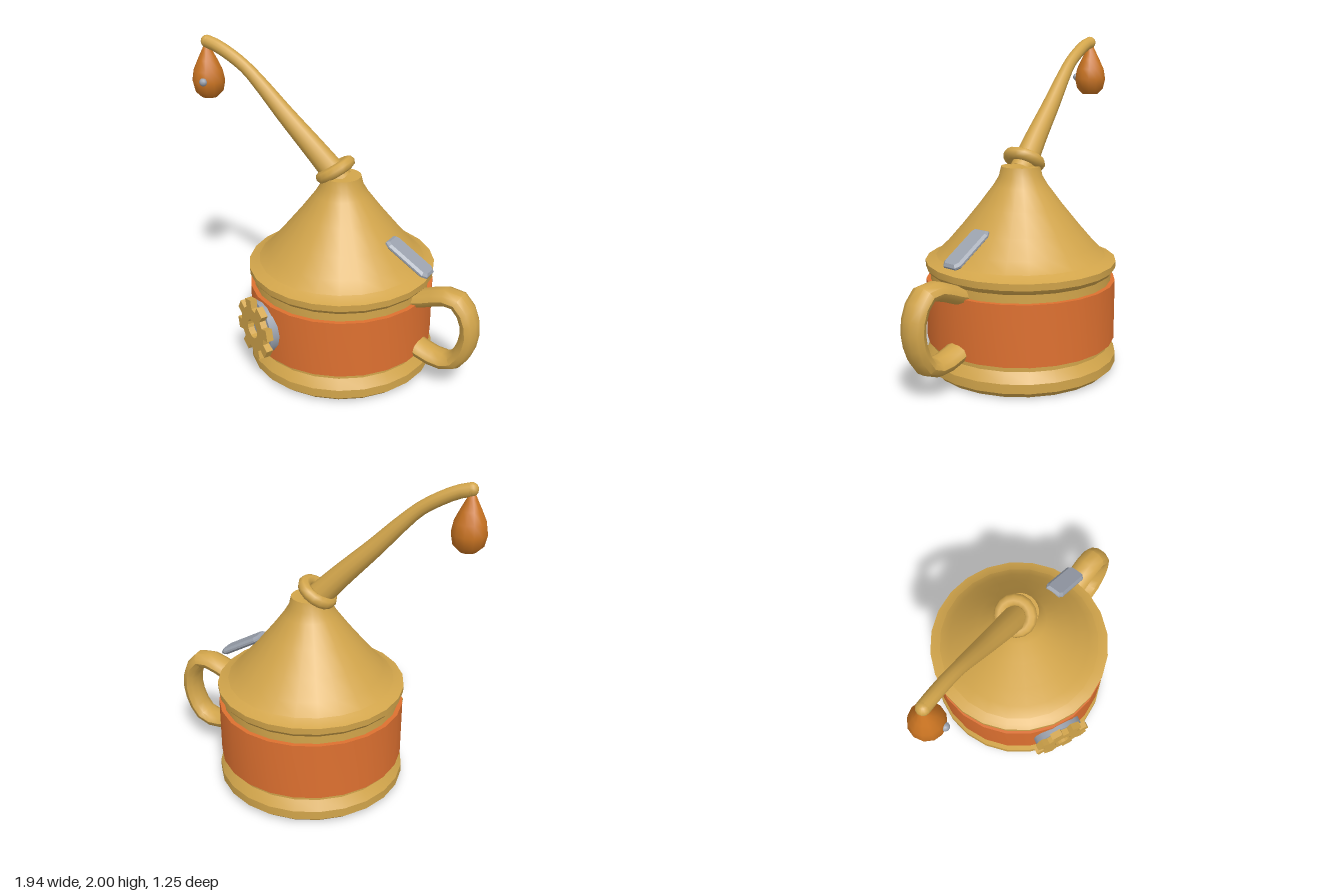
import * as THREE from 'three';
import { toCreasedNormals } from 'three/addons/utils/BufferGeometryUtils.js';

const mat = (name, color) => {
  const m = new THREE.MeshStandardMaterial({ color });
  m.name = name;
  return m;
};
const V = (x, y, z) => new THREE.Vector3(x, y, z);

export function createModel() {
  const brass = mat('brass', 0xd2a54b);
  const orange = mat('orange enamel', 0xdd7030);
  const amber = mat('amber', 0xca7422);
  const steel = mat('steel', 0x9ba2ae);

  const model = new THREE.Group();
  const add = (parent, name, geometry, material, x = 0, y = 0, z = 0) => {
    const mesh = new THREE.Mesh(geometry, material);
    mesh.name = name;
    mesh.position.set(x, y, z);
    parent.add(mesh);
    return mesh;
  };
  const lathe = (profile, segments, crease = 0.5) => toCreasedNormals(
    new THREE.LatheGeometry(profile.map(([r, y]) => new THREE.Vector2(r, y)), segments), crease);

  // Can: every round body part shares one axis
  const can = new THREE.Group();
  can.name = 'can';
  can.position.set(0.02, 0, -0.038);
  model.add(can);
  add(can, 'base', lathe([[0, 0], [0.55, 0], [0.575, 0.03], [0.588, 0.035], [0.588, 0.09],
    [0.55, 0.15], [0.55, 0.19], [0, 0.19]], 24), brass);
  add(can, 'band', lathe([[0.53, 0.185], [0.577, 0.185], [0.577, 0.55], [0.53, 0.55]], 24), orange);
  add(can, 'shoulder', lathe([[0.55, 0.53], [0.55, 0.60], [0.563, 0.61], [0.578, 0.63],
    [0.58, 0.67], [0.55, 0.68], [0.515, 0.70]], 24), brass);
  add(can, 'cone', lathe([[0.55, 0.68], [0.515, 0.70], [0.45, 0.765], [0.36, 0.87], [0.255, 1.0],
    [0.165, 1.12], [0.132, 1.175], [0.118, 1.235], [0, 1.235]], 24), brass);

  // Spout: a tube narrowed ring by ring towards the tip
  const spoutPath = new THREE.CatmullRomCurve3([
    V(0.01, 1.2, -0.038), V(-0.15, 1.372, -0.008), V(-0.35, 1.575, 0.022), V(-0.5, 1.735, 0.045),
    V(-0.6, 1.83, 0.06), V(-0.71, 1.9, 0.073), V(-0.8, 1.943, 0.084), V(-0.862, 1.96, 0.09)]);
  const rings = 20, sides = 12;
  const spoutGeo = new THREE.TubeGeometry(spoutPath, rings, 1, sides);
  const pos = spoutGeo.attributes.position;
  const p = V(0, 0, 0);
  for (let i = 0; i <= rings; i++) {
    const centre = spoutPath.getPointAt(i / rings);
    const radius = Math.max(0.039, 0.08 - 0.056 * i / rings);
    for (let j = 0; j <= sides; j++) {
      const k = i * (sides + 1) + j;
      p.fromBufferAttribute(pos, k).sub(centre).multiplyScalar(radius).add(centre);
      pos.setXYZ(k, p.x, p.y, p.z);
    }
  }
  add(model, 'spout', toCreasedNormals(spoutGeo, 0.9), brass);
  add(model, 'spoutTip', new THREE.SphereGeometry(0.039, 12, 8), brass, -0.862, 1.96, 0.09);

  // Collar where the spout leaves the cone
  const collar = add(model, 'collar', new THREE.TorusGeometry(0.094, 0.038, 8, 16), brass, -0.022, 1.265, -0.03);
  collar.quaternion.setFromUnitVectors(V(0, 0, 1), V(-0.55, 0.83, 0.08).normalize());

  // Hanging drop with a small bead
  add(model, 'drop', lathe([[0, 1.615], [0.05, 1.617], [0.088, 1.655], [0.102, 1.72], [0.09, 1.785],
    [0.06, 1.85], [0.03, 1.91], [0.012, 1.95], [0, 1.955]], 12, 0.9), amber, -0.87, 0, 0.088);
  add(model, 'dropBead', new THREE.SphereGeometry(0.025, 10, 8), steel, -0.837, 1.73, 0.178);

  // Handle: a loop tube, wider in z than it is thick
  const handlePath = new THREE.CatmullRomCurve3([[0.54, 0.55], [0.64, 0.585], [0.73, 0.622], [0.82, 0.625],
    [0.887, 0.55], [0.912, 0.42], [0.872, 0.275], [0.81, 0.2], [0.72, 0.185], [0.63, 0.205], [0.54, 0.235]]
    .map(([x, y]) => V(x, y, 0)));
  const handleGeo = new THREE.TubeGeometry(handlePath, 14, 0.055, 10).scale(1, 1, 1.5);
  add(model, 'handle', toCreasedNormals(handleGeo, 0.75), brass, 0, 0, -0.03);

  // Thumb lever: chamfered bar resting on the cone
  const bar = new THREE.Shape([[-0.146, -0.04], [-0.146, 0.04], [-0.125, 0.05], [0.125, 0.05],
    [0.146, 0.035], [0.146, -0.035], [0.125, -0.05], [-0.125, -0.05]].map(([x, y]) => new THREE.Vector2(x, y)));
  const leverGeo = new THREE.ExtrudeGeometry(bar, { depth: 0.012, bevelEnabled: true, bevelThickness: 0.014,
    bevelSize: 0.015, bevelSegments: 1 });
  leverGeo.translate(0, 0, -0.006).rotateX(-Math.PI / 2);
  add(model, 'lever', leverGeo, steel, 0.497, 0.812, -0.035).rotation.z = -0.53;

  // Cog on the band, facing outwards along the can's radius
  const cogMount = new THREE.Group();
  cogMount.name = 'cogMount';
  cogMount.position.set(0, 0.37, 0);
  cogMount.rotation.y = -0.44;
  can.add(cogMount);
  const outline = [];
  for (let i = 0; i < 8; i++) {
    const a = i * Math.PI / 4 + 0.24;
    for (const [r, d] of [[0.14, -0.24], [0.192, -0.19], [0.192, 0.19], [0.14, 0.24]]) {
      outline.push(new THREE.Vector2(r * Math.cos(a + d), r * Math.sin(a + d)));
    }
  }
  const cogShape = new THREE.Shape(outline);
  cogShape.holes.push(new THREE.Path().absarc(0, 0, 0.06, 0, Math.PI * 2, true));
  add(cogMount, 'cog', new THREE.ExtrudeGeometry(cogShape, { depth: 0.042, bevelEnabled: false, curveSegments: 8 }),
    brass, 0, 0, 0.603);
  add(cogMount, 'cogDisc', new THREE.CylinderGeometry(0.165, 0.165, 0.08, 16).rotateX(Math.PI / 2),
    steel, 0, 0, 0.565);

  return model;
}
